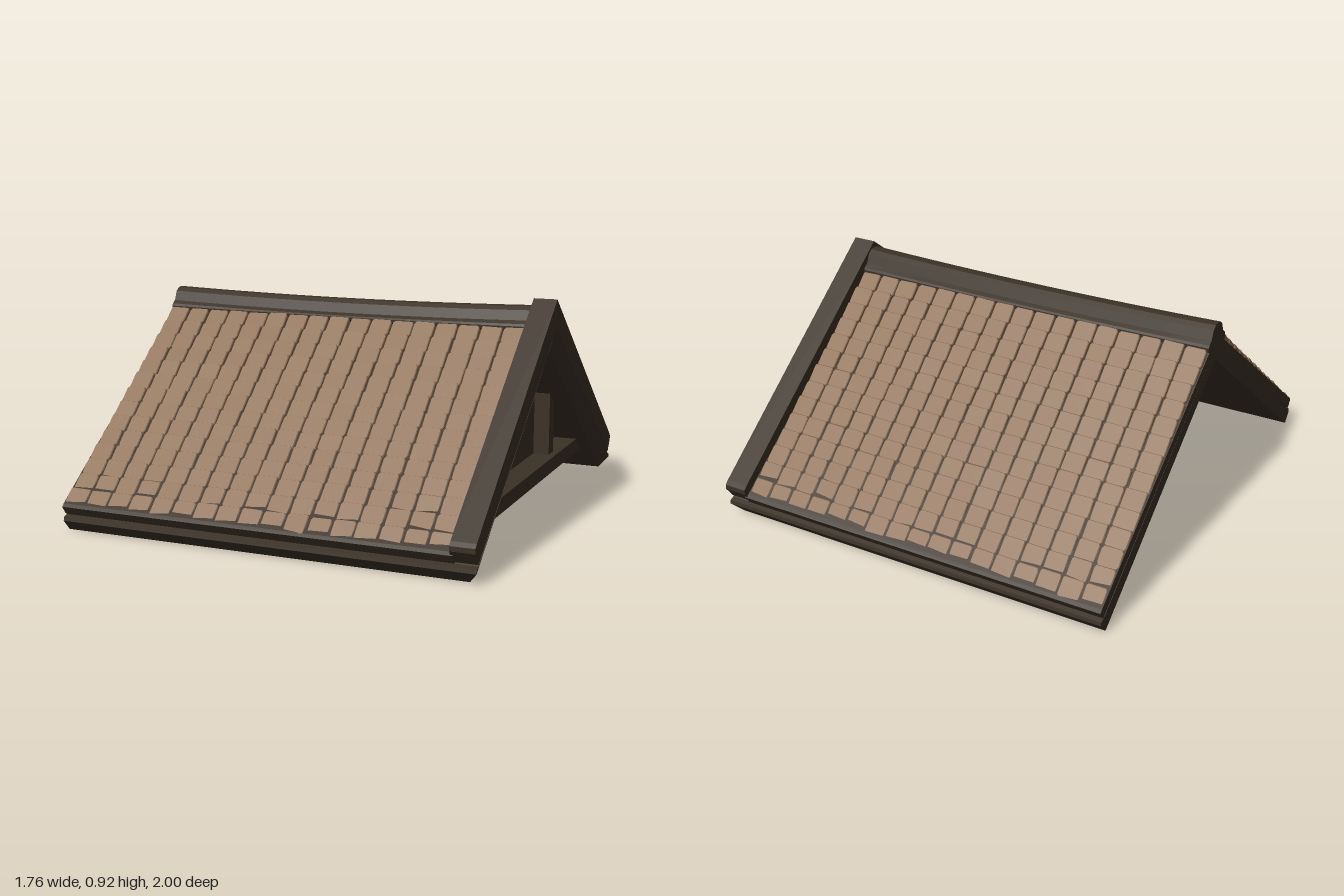
import * as THREE from 'three';
import { mergeGeometries } from 'three/addons/utils/BufferGeometryUtils.js';

const LEFT = -0.88, BARGE = 0.78, RIGHT = 0.88;
const SLOPE = 0.77;                       // drop in y per unit of z
const ANGLE = Math.atan(SLOPE);

// Small seeded generator for the uneven tiles
function seeded(seed) {
  return () => {
    seed = (seed * 1664525 + 1013904223) >>> 0;
    return seed / 4294967296;
  };
}

// Extrude a closed [z, y] outline along x
function extrudeX(points, x0, x1, steps = 1) {
  const shape = new THREE.Shape(points.map(([z, y]) => new THREE.Vector2(-z, y)));
  const geo = new THREE.ExtrudeGeometry(shape, { depth: x1 - x0, steps, bevelEnabled: false });
  return geo.rotateY(Math.PI / 2).translate(x0, 0, 0);
}

// Complete a symmetric outline from its +z half, listed from the top apex to the bottom apex
function mirrored(half) {
  const other = half.filter(([z]) => z !== 0).map(([z, y]) => [-z, y]).reverse();
  return [...half, ...other];
}

export function createModel() {
  const root = new THREE.Group();
  root.name = 'gableRoof';
  const wood = new THREE.MeshStandardMaterial({ color: 0x3b3126 });
  wood.name = 'dark wood';
  const clay = new THREE.MeshStandardMaterial({ color: 0x8f7157 });
  clay.name = 'tile brown';

  const add = (name, geo, mat = wood) => {
    const mesh = new THREE.Mesh(geo, mat);
    mesh.name = name;
    root.add(mesh);
    return mesh;
  };

  // Upper deck carrying the tiles
  add('upperDeck', extrudeX(mirrored([
    [0, 0.845], [0.978, 0.092 + 0.025], [0.99, 0.105], [0.965, 0.07], [0, 0.80],
  ]), LEFT, BARGE + 0.01));

  // Lower deck, its gable edge chamfered back towards the underside
  const lower = extrudeX(mirrored([
    [0, 0.80], [0.96, 0.068], [0.98, 0.06], [0.983, 0.045], [0.943, 0], [0, 0.73],
  ]), LEFT, RIGHT);
  const lp = lower.attributes.position;
  for (let i = 0; i < lp.count; i++) {
    const under = lp.getY(i) + SLOPE * Math.abs(lp.getZ(i)) < 0.765;
    if (under && lp.getX(i) > 0.87) lp.setX(i, 0.842);
  }
  lower.computeVertexNormals();
  add('lowerDeck', lower);

  // Bargeboards on the gable end
  add('bargeboards', extrudeX(mirrored([
    [0, 0.92], [0.985, 0.16], [1.0, 0.145], [1.0, 0.125], [0.963, 0.075], [0, 0.80],
  ]), BARGE, RIGHT));

  // Ridge cap with a slight sag along its length
  const ridge = extrudeX(mirrored([
    [0, 0.892], [0.022, 0.889], [0.042, 0.875], [0.06, 0.835], [0.078, 0.822], [0.084, 0.812],
    [0.084, 0.796], [0.07, 0.785], [0, 0.785],
  ]), LEFT, BARGE, 16);
  const rp = ridge.attributes.position;
  for (let i = 0; i < rp.count; i++) {
    const t = (rp.getX(i) - (LEFT + BARGE) / 2) / ((BARGE - LEFT) / 2);
    rp.setY(i, rp.getY(i) - 0.013 * (1 - t * t) * THREE.MathUtils.smoothstep(rp.getY(i), 0.79, 0.84));
  }
  ridge.computeVertexNormals();
  add('ridgeCap', ridge);

  // Gable wall, tie beam and posts, all cut to the roof line
  const roofZ = (y) => (0.735 - y) / SLOPE;
  add('gablePanel', extrudeX([[roofZ(0.12), 0.12], [0, 0.735], [-roofZ(0.12), 0.12]], 0.63, 0.69));
  add('tieBeam', extrudeX([
    [roofZ(0.115), 0.115], [roofZ(0.18), 0.18], [-roofZ(0.18), 0.18], [-roofZ(0.115), 0.115],
  ], 0.59, 0.79));
  for (const s of [1, -1]) {
    const [a, b] = [0.355, 0.425];
    const outline = [[a, 0.17], [b, 0.17], [b, 0.735 - SLOPE * b], [a, 0.735 - SLOPE * a]];
    add(s > 0 ? 'frontPost' : 'backPost', extrudeX(outline.map(([z, y]) => [s * z, y]), 0.68, 0.76));
  }

  // Roof tiles: tilted slabs with clipped corners, laid in straight columns
  const rand = seeded(11);
  const jit = (amount) => (rand() - 0.5) * 2 * amount;
  const COLS = 17, ROWS = 14;
  const pitchX = (BARGE - LEFT) / COLS;
  const zTop = 0.075, zEave = 0.968;
  const pitchZ = (zEave - zTop) / ROWS;
  const pitchS = pitchZ / Math.cos(ANGLE);

  function tile() {
    const w = pitchX / 2 - 0.0065 + jit(0.0015);
    const h = pitchS / 2 - 0.001 + jit(0.002);
    const c = 0.008 + jit(0.004);
    const shape = new THREE.Shape([
      [-w + c * 0.6, -h], [w - c * 0.6, -h], [w, -h + c], [w, h - c],
      [w - c * 0.6, h], [-w + c * 0.6, h], [-w, h - c], [-w, -h + c],
    ].map(([x, y]) => new THREE.Vector2(x, y)));
    return new THREE.ExtrudeGeometry(shape, {
      depth: 0.016, bevelThickness: 0.004, bevelSize: 0.003, bevelSegments: 1,
    });
  }

  for (const s of [1, -1]) {
    const up = new THREE.Vector3(0, Math.sin(ANGLE), -s * Math.cos(ANGLE));
    const normal = new THREE.Vector3(0, Math.cos(ANGLE), s * Math.sin(ANGLE));
    const basis = new THREE.Matrix4().makeBasis(new THREE.Vector3(s, 0, 0), up, normal);
    const tiles = [];
    for (let r = 0; r < ROWS; r++) {
      for (let c = 0; c < COLS; c++) {
        const z = zTop + (r + 0.5) * pitchZ;
        const geo = tile();
        geo.rotateZ(jit(0.02)).rotateX(0.11 + jit(0.02)).rotateY(jit(0.015));
        geo.applyMatrix4(basis);
        geo.translate(LEFT + (c + 0.5) * pitchX + jit(0.001), 0.848 - SLOPE * z + jit(0.002), s * z);
        tiles.push(geo);
      }
    }
    add(s > 0 ? 'frontTiles' : 'backTiles', mergeGeometries(tiles), clay);
  }
  return root;
}
